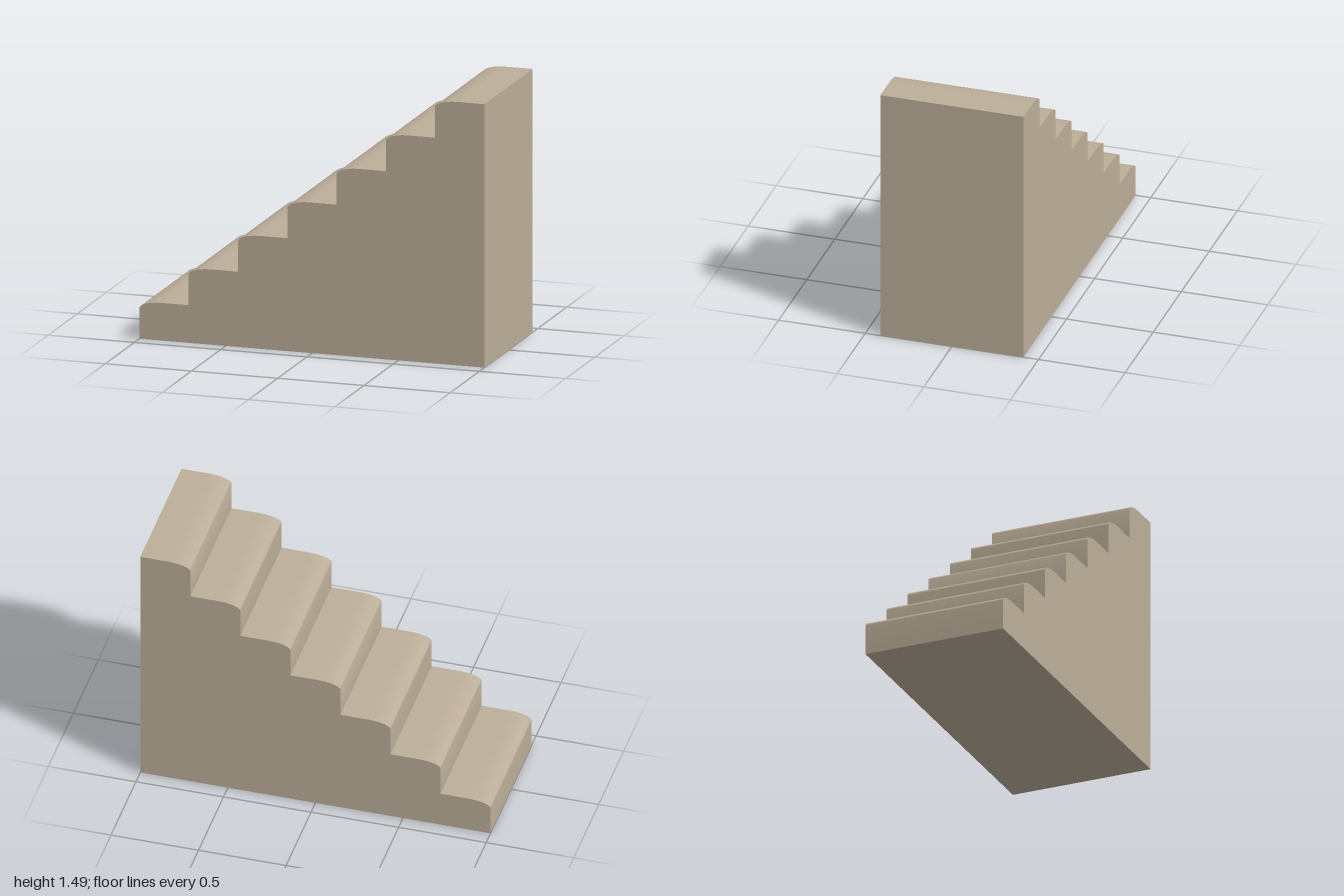
import * as THREE from 'three';
import { toCreasedNormals } from 'three/addons/utils/BufferGeometryUtils.js';

const STEPS = 7;
const RUN = 2 / STEPS;
const RISE = 1.493 / STEPS;
const DEPTH = 0.826;
const NOSE_X = 0.13; // length of the rounded step edge
const NOSE_Y = 0.04; // drop of the rounded step edge

export function createModel() {
  const group = new THREE.Group();
  group.name = 'staircase';

  const stone = new THREE.MeshStandardMaterial({ color: 0xbcae99 });
  stone.name = 'sandstone';

  // Side profile: each step has a riser, a rounded nose and a flat tread
  const profile = new THREE.Shape();
  profile.moveTo(1, 0);
  profile.lineTo(-1, 0);
  for (let i = 0; i < STEPS; i++) {
    const x = -1 + i * RUN;
    const y = (i + 1) * RISE;
    profile.lineTo(x, y - NOSE_Y);
    profile.absellipse(x + NOSE_X, y - NOSE_Y, NOSE_X, NOSE_Y, Math.PI, Math.PI / 2, true);
    profile.lineTo(x + RUN, y);
  }
  profile.closePath();

  // Solid block of steps, smooth over the noses and sharp elsewhere
  const block = new THREE.ExtrudeGeometry(profile, { depth: DEPTH, bevelEnabled: false, curveSegments: 12 });
  block.translate(0, 0, -DEPTH / 2);
  const steps = new THREE.Mesh(toCreasedNormals(block, 0.7), stone);
  steps.name = 'steps';
  group.add(steps);

  return group;
}
